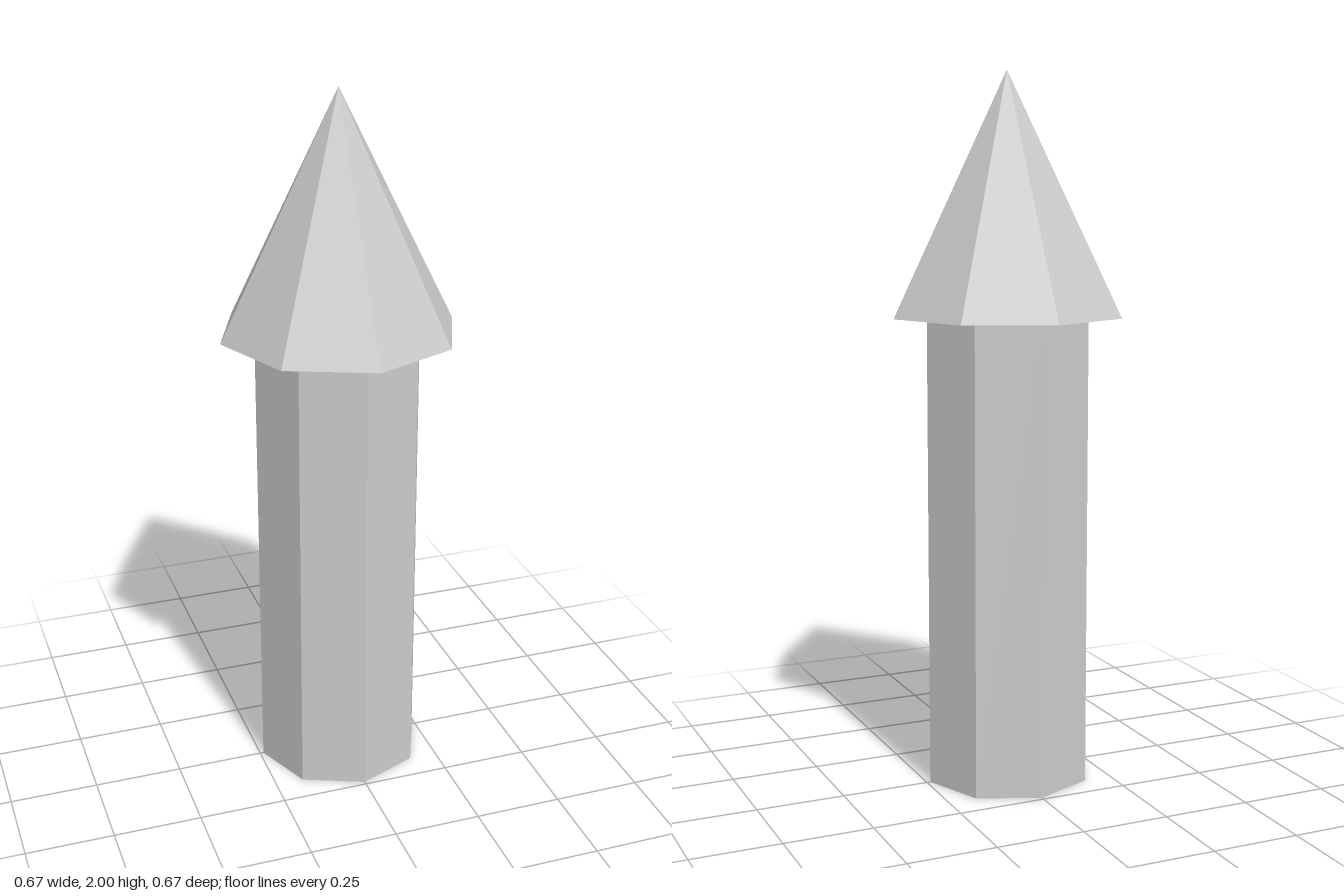
import * as THREE from 'three';

const SIDES = 8;
const SHAFT_RADIUS = 0.24;
const SHAFT_HEIGHT = 1.33;
const TIP_RADIUS = 0.336;
const TOTAL_HEIGHT = 2;

export function createModel() {
  const model = new THREE.Group();
  model.name = 'post';
  const material = new THREE.MeshStandardMaterial({ color: 0xcccccc, flatShading: true });

  const addPart = (name, geometry, y) => {
    const mesh = new THREE.Mesh(geometry, material);
    mesh.name = name;
    mesh.position.y = y;
    model.add(mesh);
  };

  // Octagonal shaft standing on the ground
  addPart('shaft', new THREE.CylinderGeometry(SHAFT_RADIUS, SHAFT_RADIUS, SHAFT_HEIGHT, SIDES), SHAFT_HEIGHT / 2);

  // Overhanging pointed tip
  const tipHeight = TOTAL_HEIGHT - SHAFT_HEIGHT;
  addPart('tip', new THREE.ConeGeometry(TIP_RADIUS, tipHeight, SIDES), SHAFT_HEIGHT + tipHeight / 2);

  return model;
}
